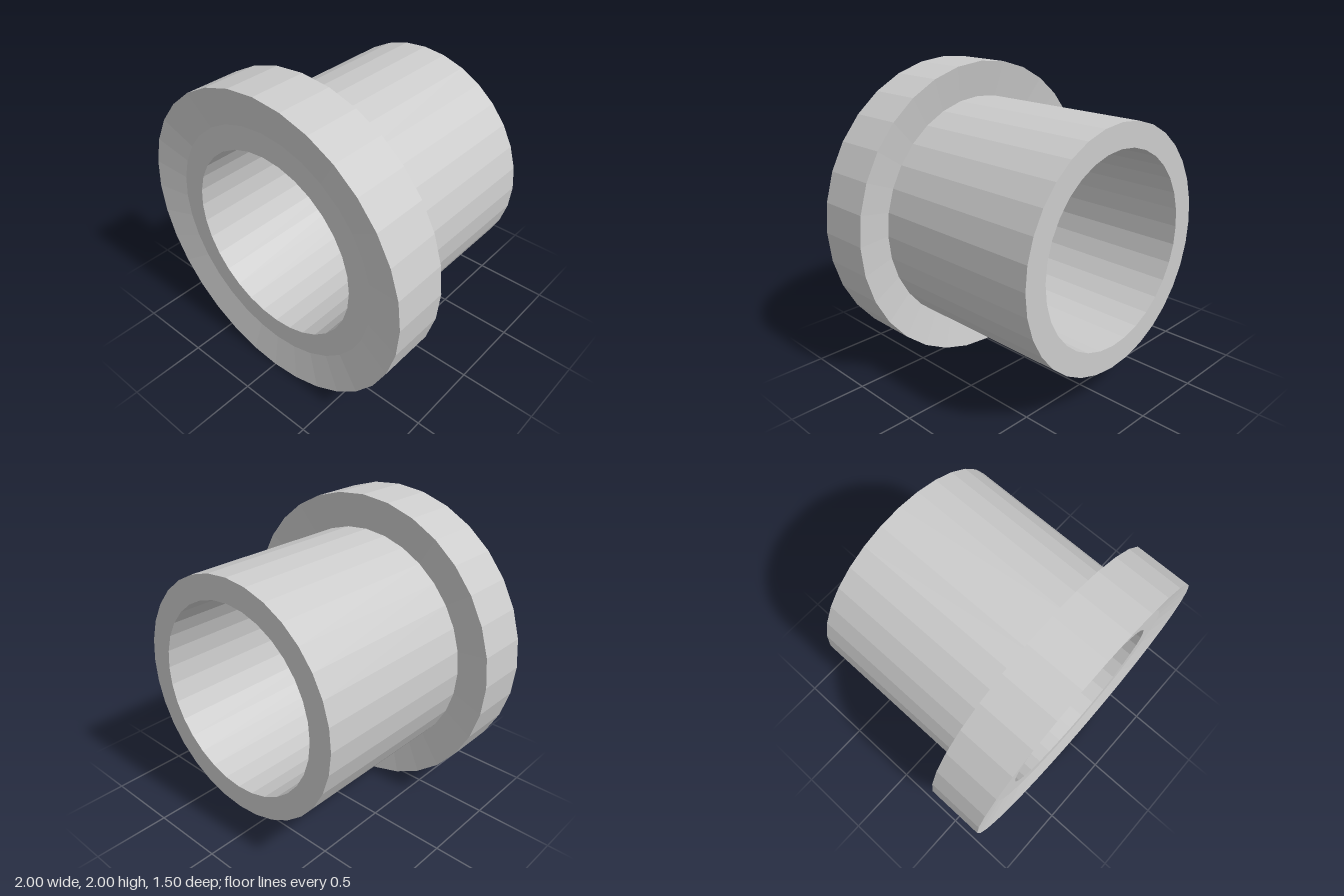
import * as THREE from 'three';

const SEGMENTS = 32;
const BORE = 0.617, BARREL = 0.77, RIM = 1;   // radii
const BACK = -0.75, RIM_BACK = 0.385, FRONT = 0.75;
const DISH = 0.04;                            // how far the collar faces sink towards the barrel

export function createModel() {
  const group = new THREE.Group();
  group.name = 'flangedBushing';
  const material = new THREE.MeshStandardMaterial({ color: 0xcccccc, flatShading: true });

  // Revolves a [radius, z] profile around the z axis
  const addRevolved = (name, profile) => {
    const points = profile.map(([r, z]) => new THREE.Vector2(r, z));
    const geometry = new THREE.LatheGeometry(points, SEGMENTS).rotateX(Math.PI / 2);
    const mesh = new THREE.Mesh(geometry, material);
    mesh.name = name;
    mesh.position.y = RIM;
    group.add(mesh);
  };

  // Hollow barrel: bore, flat rear end and outer wall
  addRevolved('barrel', [
    [BORE, FRONT - DISH],
    [BORE, BACK],
    [BARREL, BACK],
    [BARREL, RIM_BACK + DISH],
  ]);

  // Collar with slightly dished back and front, and a flat lip around the bore
  addRevolved('collar', [
    [BARREL, RIM_BACK + DISH],
    [RIM, RIM_BACK],
    [RIM, FRONT],
    [BARREL, FRONT - DISH],
    [BORE, FRONT - DISH],
  ]);

  return group;
}
